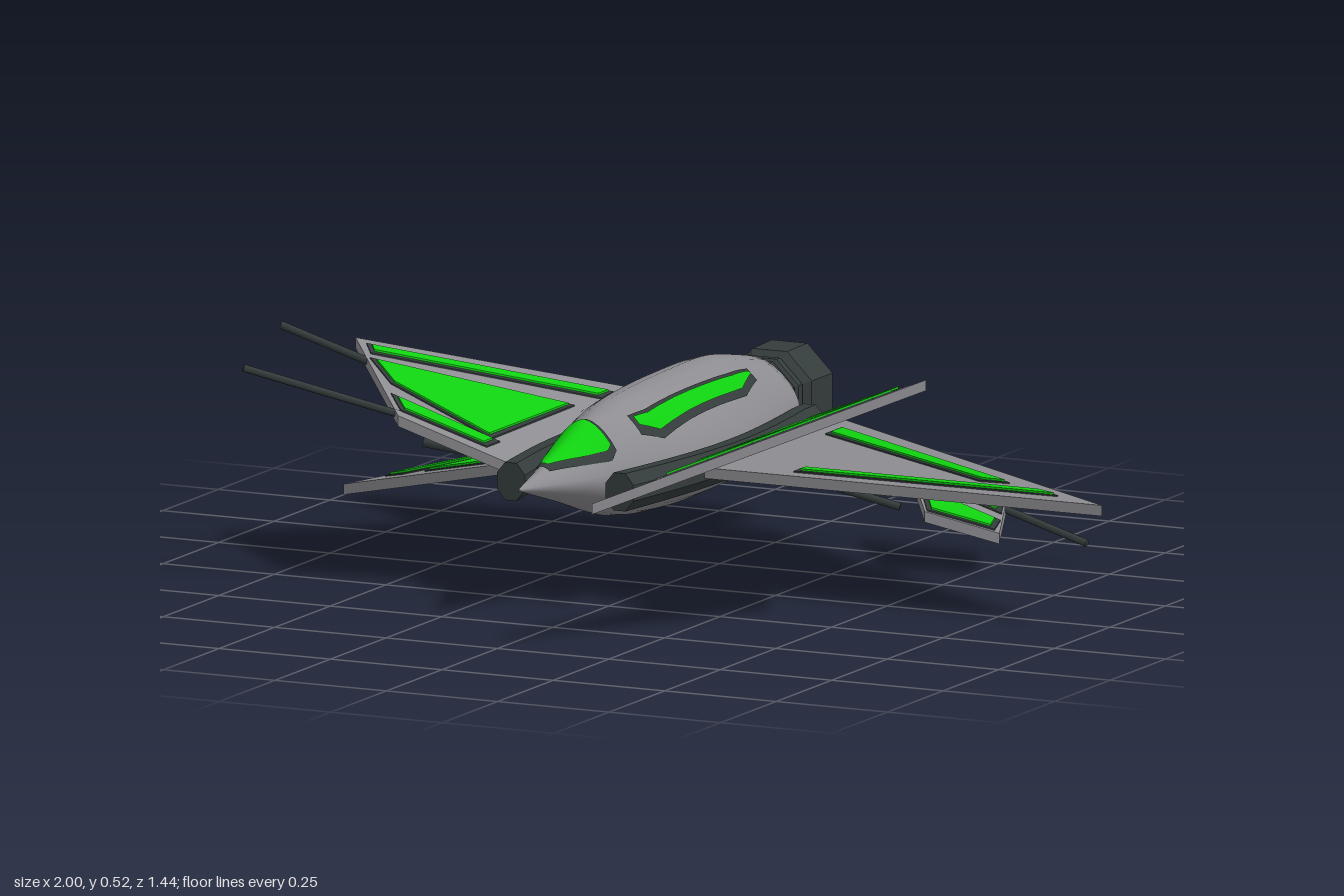
import * as THREE from 'three';

const mat = (name, color, extra = {}) => Object.assign(new THREE.MeshStandardMaterial({ color }), { name }, extra);

export function createModel() {
  const grey = mat('hull grey', 0x8c8c91);
  const dark = mat('dark metal', 0x343b3b);
  const green = mat('bright green', 0x10d010);
  const CX = -0.08; // fuselage centre line
  const model = new THREE.Group();
  model.name = 'starfighter';

  const add = (parent, name, geo, material) => {
    const m = new THREE.Mesh(geo, material);
    m.name = name;
    parent.add(m);
    return m;
  };

  // Skin over rings that run from front to back
  function loft(rings, flat) {
    const n = rings[0].length, idx = [];
    for (let i = 0; i < rings.length - 1; i++) for (let j = 0; j < n; j++) {
      const k = (j + 1) % n, a = i * n + j, b = i * n + k, d = a + n, c = b + n;
      idx.push(a, d, c, a, c, b);
    }
    const last = (rings.length - 1) * n;
    for (let j = 1; j < n - 1; j++) idx.push(0, j, j + 1, last, last + j + 1, last + j);
    let g = new THREE.BufferGeometry();
    g.setAttribute('position', new THREE.Float32BufferAttribute(rings.flat(2), 3));
    g.setIndex(idx);
    if (flat) g = g.toNonIndexed();
    g.computeVertexNormals();
    return g;
  }

  // Fuselage stations: half width, top, bottom, widest height
  const stationZ = [-0.57, -0.5, -0.35, -0.2, 0, 0.1, 0.2, 0.3, 0.49];
  const stations = [
    0.1, 0.365, 0.18, 0.27, 0.115, 0.38, 0.172, 0.262, 0.14, 0.405, 0.152, 0.252,
    0.15, 0.406, 0.14, 0.25, 0.14, 0.398, 0.143, 0.25, 0.118, 0.388, 0.155, 0.25,
    0.085, 0.362, 0.182, 0.253, 0.058, 0.325, 0.215, 0.262, 0.003, 0.278, 0.272, 0.275];
  const interp = new THREE.CubicInterpolant(stationZ, stations, 4);
  const station = z => Array.from(interp.evaluate(z));
  const hullY = (z, x, side) => {
    const [w, top, bot, mid] = station(z);
    const u = Math.min(1, Math.abs(x) / w);
    return side > 0
      ? mid + (top - mid) * Math.pow(1 - Math.pow(u, 1.6), 0.65)
      : mid - (mid - bot) * Math.pow(1 - Math.pow(u, 1.6), 0.5);
  };
  const hullRings = [];
  for (let i = 0; i <= 44; i++) {
    const z = 0.49 - 1.06 * i / 44, w = station(z)[0];
    hullRings.push(Array.from({ length: 28 }, (_, j) => {
      const t = j / 28 * Math.PI * 2, x = w * Math.cos(t);
      return [CX + x, hullY(z, x, j <= 14 ? 1 : -1), z];
    }));
  }
  add(model, 'fuselage', loft(hullRings), grey);

  // Thin skin patch lying on the fuselage; rows are [z, x from, x to]
  function patch(name, rows, lift, side, material) {
    const pos = [], idx = [], N = 10, M = 16;
    for (let i = 0; i <= M; i++) {
      const f = i / M * (rows.length - 1), r = Math.min(rows.length - 2, Math.floor(f)), t = f - r;
      const [z, x0, x1] = rows[r].map((v, k) => v + (rows[r + 1][k] - v) * t);
      for (let j = 0; j <= N; j++) {
        const x = x0 + (x1 - x0) * j / N;
        pos.push(CX + x, hullY(z, x, side) + side * lift, z);
        if (i < M && j < N) {
          const a = i * (N + 1) + j, b = a + 1, d = a + N + 1, c = d + 1;
          if (side > 0) idx.push(a, b, c, a, c, d);
          else idx.push(a, c, b, a, d, c);
        }
      }
    }
    const g = new THREE.BufferGeometry();
    g.setAttribute('position', new THREE.Float32BufferAttribute(pos, 3));
    g.setIndex(idx);
    g.computeVertexNormals();
    add(model, name, g, material);
  }
  function framedPatch(name, rows, side) {
    const e = 0.009;
    const wide = rows.map(([z, a, b], i) => [z + (i === 0 ? e : i === rows.length - 1 ? -e : 0), a - e, b + e]);
    patch(name + 'Frame', wide, 0.004, side, dark);
    patch(name, rows, 0.008, side, green);
  }
  framedPatch('canopy', [[0.38, -0.008, 0.008], [0.29, -0.04, 0.04], [0.215, -0.062, 0.062], [0.2, -0.06, 0.06]], 1);
  framedPatch('bellyHatch', [[-0.09, -0.04, 0.04], [-0.17, -0.075, 0.075], [-0.26, -0.045, 0.045]], -1);
  framedPatch('leftSpineStripe', [[0.1, 0.06, 0.075], [0.05, 0.07, 0.1], [-0.31, 0.075, 0.1], [-0.4, 0.07, 0.075]], 1);
  framedPatch('rightSpineStripe', [[0.1, -0.075, -0.06], [0.05, -0.1, -0.07], [-0.31, -0.1, -0.075], [-0.4, -0.075, -0.07]], 1);

  // Curved side rails
  for (const s of [1, -1]) {
    const rings = [];
    for (let i = 0; i <= 16; i++) {
      const t = i / 16, z = 0.285 - 0.855 * t;
      const off = 0.122 + 0.042 * Math.sin(Math.PI * Math.min(1, t * 1.04)), h = 0.042 - 0.008 * t;
      rings.push(Array.from({ length: 8 }, (_, j) => {
        const a = (j + 0.5) / 8 * Math.PI * 2;
        return [CX + s * off + 0.034 * Math.cos(a), 0.246 + h * Math.sin(a), z];
      }));
    }
    add(model, s > 0 ? 'leftRail' : 'rightRail', loft(rings, true), dark);
  }

  // Engine neck and hollow nozzle
  const nozzleProfile = [[0, 0.56], [0.088, 0.56], [0.09, 0.58], [0.083, 0.587], [0.092, 0.595], [0.092, 0.612],
    [0.086, 0.62], [0.102, 0.635], [0.104, 0.725], [0.088, 0.725], [0.07, 0.64], [0, 0.64]];
  const nozzleGeo = new THREE.LatheGeometry(nozzleProfile.map(p => new THREE.Vector2(...p)), 8, Math.PI / 8)
    .rotateX(-Math.PI / 2).toNonIndexed();
  nozzleGeo.computeVertexNormals();
  add(model, 'engineNozzle', nozzleGeo, dark).position.set(CX, 0.272, 0);
  add(model, 'engineGlow', new THREE.CircleGeometry(0.045, 8).rotateY(Math.PI), green).position.set(CX, 0.272, -0.643);

  // Flat plate from an [x, z] outline, sheared onto a sloping plane
  function plate(outline, plane, y0, thick) {
    const shape = new THREE.Shape(outline.map(([x, z]) => new THREE.Vector2(x, -z)));
    const g = new THREE.ExtrudeGeometry(shape, { depth: thick, bevelEnabled: false }).rotateX(-Math.PI / 2);
    const p = g.attributes.position;
    for (let i = 0; i < p.count; i++) p.setY(i, p.getY(i) + y0 + plane(p.getX(i)));
    g.computeVertexNormals();
    return g;
  }
  // Grow a convex outline by distance d
  function grow(pts, d) {
    const n = pts.length;
    const area = pts.reduce((s, [x, z], i) => s + x * pts[(i + 1) % n][1] - pts[(i + 1) % n][0] * z, 0);
    const normal = (a, b) => {
      const l = Math.hypot(b[0] - a[0], b[1] - a[1]) * Math.sign(area);
      return [(b[1] - a[1]) / l, (a[0] - b[0]) / l];
    };
    return pts.map((p, i) => {
      const u = normal(pts[(i + n - 1) % n], p), v = normal(p, pts[(i + 1) % n]);
      const k = d / Math.max(0.45, 1 + u[0] * v[0] + u[1] * v[1]);
      return [p[0] + (u[0] + v[0]) * k, p[1] + (u[1] + v[1]) * k];
    });
  }
  function wing(name, plane, outline, panels) {
    const g = new THREE.Group();
    g.name = name;
    add(g, 'wingPlate', plate(outline, plane, -0.022, 0.022), grey);
    for (const p of panels) {
      add(g, 'panelFrame', plate(grow(p, 0.01), plane, 0, 0.003), dark);
      add(g, 'panel', plate(p, plane, 0.001, 0.006), green);
    }
    model.add(g);
  }

  // Top surface heights of the five wings
  const upperLeft = x => 0.27 + 0.42 * (x - 0.1);
  const upperRight = x => 0.28 - 0.405 * (x + 0.27);
  const flatLeft = () => 0.258;
  const lowerRight = x => 0.025 + 0.275 * (x + 1);
  const lowerLeft = x => 0.24 - 0.3 * (x - 0.06);

  wing('upperLeftWing', upperLeft,
    [[0.07, -0.57], [0.12, -0.54], [0.705, 0.235], [0.195, 0.715], [0.39, 0.29], [0.06, 0.2]],
    [[[0.17, -0.21], [0.54, 0.195], [0.49, 0.205], [0.17, 0.065]],
      [[0.15, -0.39], [0.62, 0.19], [0.61, 0.215], [0.15, -0.345]],
      [[0.165, 0.145], [0.49, 0.245], [0.44, 0.265], [0.165, 0.18]],
      [[0.445, 0.295], [0.635, 0.25], [0.29, 0.57]]]);
  wing('upperRightWing', upperRight,
    [[-0.22, -0.57], [-0.27, -0.53], [-0.69, 0.005], [-0.46, 0.275], [-0.22, 0.21]],
    [[[-0.325, -0.22], [-0.325, 0.135], [-0.54, 0.13], [-0.61, 0.07]],
      [[-0.32, -0.39], [-0.32, -0.345], [-0.635, 0.03], [-0.65, 0.01]],
      [[-0.31, 0.15], [-0.31, 0.19], [-0.465, 0.235], [-0.5, 0.195]]]);
  wing('flatLeftWing', flatLeft,
    [[0.07, -0.57], [1, -0.035], [1, -0.035], [0.07, -0.035]].map(([x, z]) => [x, z + (z > -0.5 ? 0.0 : 0)]).slice(0, 1)
      .concat([[0.11, -0.56], [1, -0.0355 + 0.0005 + 0.07], [0.07, 0.035]]),
    [[[0.18, -0.44], [0.72, -0.09], [0.67, -0.09], [0.18, -0.39]],
      [[0.3, -0.01], [0.87, -0.01], [0.82, -0.035], [0.3, -0.035]]]);
  wing('lowerRightWing', lowerRight,
    [[-1, -0.563], [-0.2, -0.57], [-0.2, -0.06]],
    [[[-0.88, -0.53], [-0.31, -0.535], [-0.31, -0.5], [-0.83, -0.5]],
      [[-0.75, -0.445], [-0.3, -0.445], [-0.3, -0.17]]]);
  wing('lowerLeftWingFragment', lowerLeft,
    [[0.265, -0.565], [0.485, -0.565], [0.56, -0.385], [0.42, -0.33]],
    [[[0.29, -0.54], [0.48, -0.54], [0.495, -0.505], [0.315, -0.505]],
      [[0.365, -0.445], [0.52, -0.445], [0.535, -0.395], [0.425, -0.35]]]);

  // Gun barrels and bare wing spars
  function rod(name, a, b, r = 0.008) {
    const p = new THREE.Vector3(...a), q = new THREE.Vector3(...b), d = q.clone().sub(p);
    const m = add(model, name, new THREE.CylinderGeometry(r, r, d.length(), 8), dark);
    m.position.copy(p).add(q).multiplyScalar(0.5);
    m.quaternion.setFromUnitVectors(new THREE.Vector3(0, 1, 0), d.normalize());
  }
  const on = (plane, x, z) => [x, plane(x) - 0.008, z];
  rod('outerGun', on(upperRight, -0.8, 0.12), on(upperRight, -0.6, 0.06));
  rod('innerGun', on(upperRight, -0.73, 0.43), on(upperRight, -0.45, 0.23));
  rod('rearSpar', on(lowerLeft, 0.05, -0.552), on(lowerLeft, 0.67, -0.558));
  rod('brokenLeftSpar', on(lowerLeft, 0.1, -0.23), on(lowerLeft, 0.37, -0.32));
  rod('brokenRightSpar', [-0.24, 0.245, 0.1], [-0.46, 0.283, 0.16], 0.01);
  return model;
}
